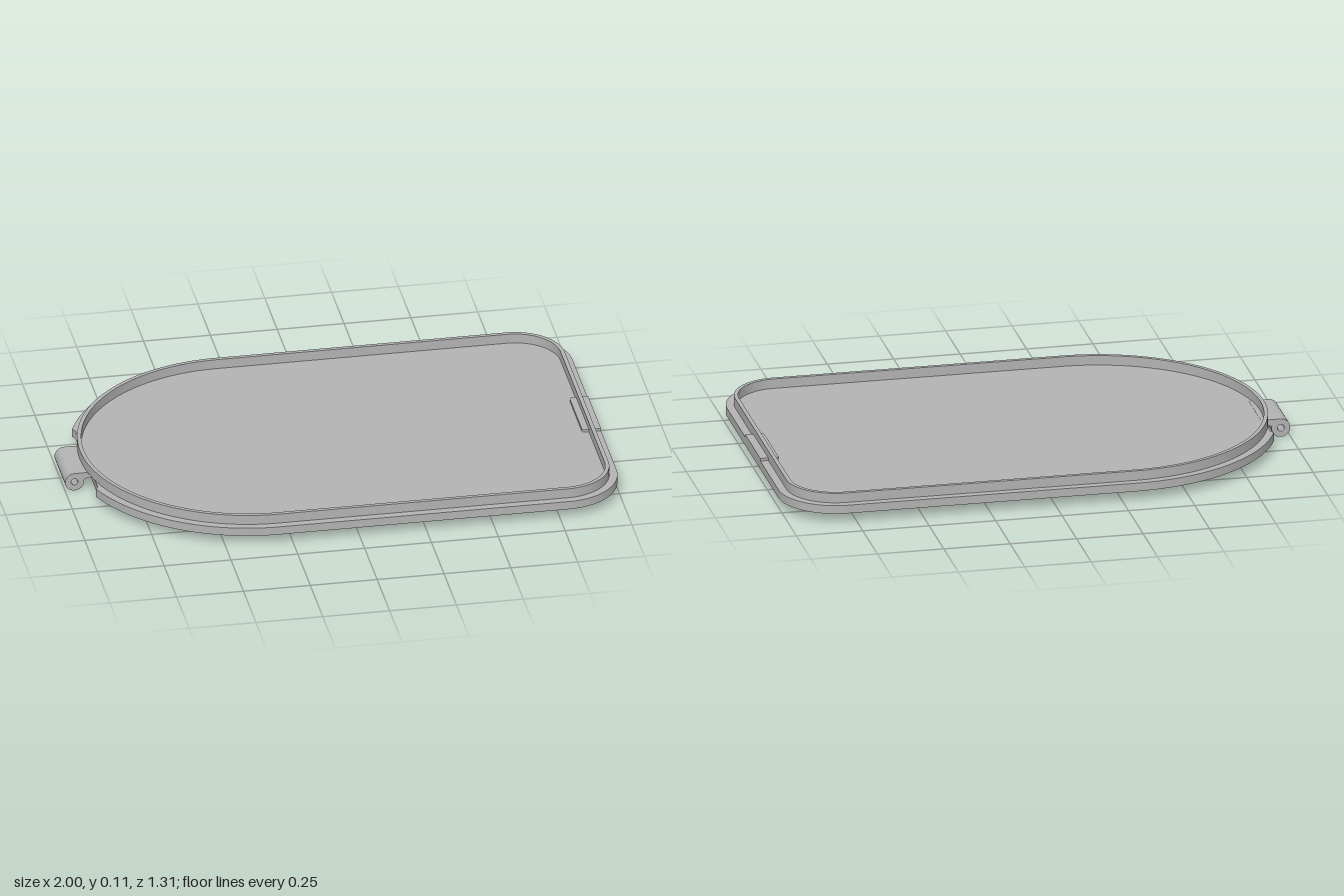
import * as THREE from 'three';
import { toCreasedNormals } from 'three/addons/utils/BufferGeometryUtils.js';

const HALF = 0.655; // half width, also the radius of the round end

// Plan outline moved inwards by d; notched = flat cut at the hinge end
function trace(path, d, notched = false) {
  const r = HALF - d, corner = 0.215 - d;
  const cut = notched ? Math.asin(0.24 / HALF) : 0;
  path.moveTo(-0.3, -r);
  path.lineTo(0.785, -r);
  path.absarc(0.785, -0.44, corner, -Math.PI / 2, 0);
  path.lineTo(1 - d, 0.44);
  path.absarc(0.785, 0.44, corner, 0, Math.PI / 2);
  path.lineTo(-0.3, r);
  path.absarc(-0.3, 0, r, Math.PI / 2, Math.PI - cut);
  if (notched) {
    path.lineTo(-0.9, 0.22);
    path.lineTo(-0.9, -0.22);
  }
  path.absarc(-0.3, 0, r, Math.PI + cut, Math.PI * 1.5);
  return path;
}

function extrude(shape, depth) {
  const geo = new THREE.ExtrudeGeometry(shape, { depth, bevelEnabled: false, curveSegments: 28 });
  return toCreasedNormals(geo, 0.5);
}

// Lay a plan shape flat between two heights
function slab(shape, y0, y1) {
  return extrude(shape, y1 - y0).rotateX(-Math.PI / 2).translate(0, y0, 0);
}

export function createModel() {
  const group = new THREE.Group();
  const grey = new THREE.MeshStandardMaterial({ color: 0xb3b3b3 });
  grey.name = 'grey';
  const add = (name, geo) => {
    const mesh = new THREE.Mesh(geo, grey);
    mesh.name = name;
    group.add(mesh);
  };

  // Flat plate with the notch for the hinge
  add('plate', slab(trace(new THREE.Shape(), 0, true), 0.038, 0.07));

  // Thin raised wall standing on the plate
  const lip = trace(new THREE.Shape(), 0.03);
  lip.holes.push(trace(new THREE.Path(), 0.045));
  add('lip', slab(lip, 0.07, 0.107));

  // Latch tab through the wall, with rounded inner corners
  const tab = new THREE.Shape();
  tab.moveTo(1, -0.13);
  tab.lineTo(1, 0.13);
  tab.lineTo(0.94, 0.13);
  tab.absarc(0.94, 0.12, 0.01, Math.PI / 2, Math.PI);
  tab.absarc(0.94, -0.12, 0.01, Math.PI, Math.PI * 1.5);
  add('latchTab', slab(tab, 0.056, 0.08));

  // Hinge barrel with its arm and pin hole
  const hinge = new THREE.Shape();
  hinge.moveTo(-0.89, 0.071);
  hinge.lineTo(-0.965, 0.071);
  hinge.absarc(-0.965, 0.036, 0.035, Math.PI / 2, Math.PI * 2 + 0.2);
  hinge.lineTo(-0.915, 0.05);
  hinge.lineTo(-0.89, 0.05);
  hinge.holes.push(new THREE.Path().absarc(-0.965, 0.036, 0.013, 0, Math.PI * 2));
  add('hinge', extrude(hinge, 0.214).translate(0, 0, -0.107));

  return group;
}
